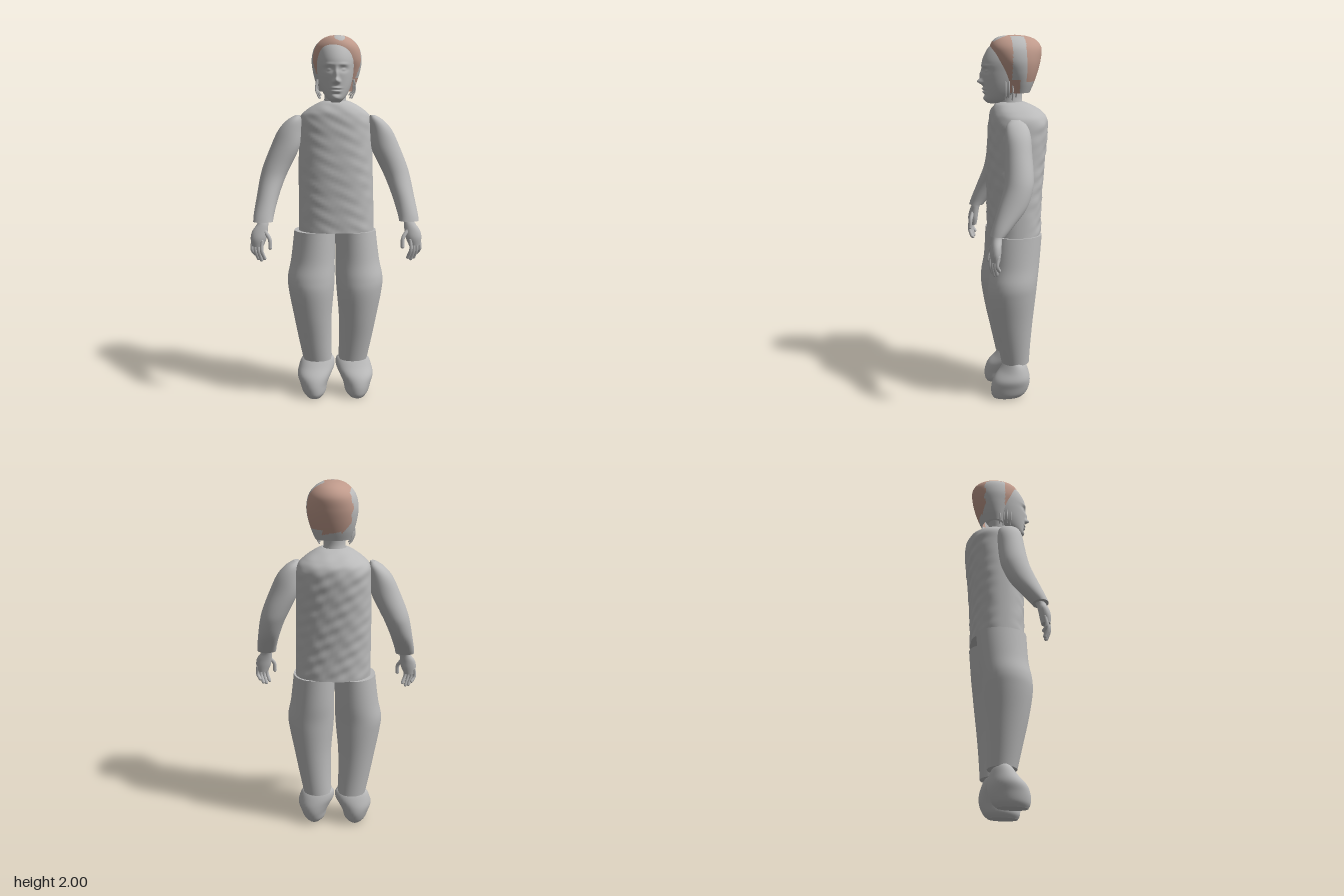
import * as THREE from 'three';

const grey = new THREE.MeshStandardMaterial({ color: 0xbababa, side: THREE.DoubleSide });
grey.name = 'grey';
const brown = new THREE.MeshStandardMaterial({ color: 0xbf9a8b, side: THREE.DoubleSide });
brown.name = 'hairBrown';

// Catmull-Rom blend between the section rows
function sample(rows, t) {
  const n = rows.length - 1, f = t * n, i = Math.min(Math.floor(f), n - 1), u = f - i;
  const at = k => rows[Math.max(0, Math.min(n, k))];
  const [a, b, c, d] = [at(i - 1), at(i), at(i + 1), at(i + 2)];
  return b.map((p, k) => p + 0.5 * u * (c[k] - a[k] + u * (2 * a[k] - 5 * p + 4 * c[k] - d[k]
    + u * (3 * (p - c[k]) + d[k] - a[k]))));
}

// Smooth body from rising sections [y, xMin, xMax, zMin, zMax]
function loft(name, rows, { sides = 40, steps = 40, power = 2, deform, paint, caps = true } = {}) {
  const pos = [], plain = [], painted = [];
  const point = (r, j) => {
    const a = j / sides * Math.PI * 2, e = 2 / power;
    const c = Math.cos(a), s = Math.sin(a);
    const v = new THREE.Vector3(
      (r[1] + r[2]) / 2 + Math.sign(c) * Math.abs(c) ** e * (r[2] - r[1]) / 2, r[0],
      (r[3] + r[4]) / 2 + Math.sign(s) * Math.abs(s) ** e * (r[4] - r[3]) / 2);
    if (deform) deform(v, s);
    return v;
  };
  for (let i = 0; i <= steps; i++) {
    const r = sample(rows, i / steps);
    for (let j = 0; j < sides; j++) pos.push(...point(r, j).toArray());
  }
  const addTriangle = (...t) => {
    const mid = [0, 1, 2].map(k => t.reduce((sum, v) => sum + pos[v * 3 + k], 0) / 3);
    (paint && paint(...mid) ? painted : plain).push(...t);
  };
  for (let i = 0; i < steps; i++) for (let j = 0; j < sides; j++) {
    const a = i * sides + j, b = i * sides + (j + 1) % sides;
    addTriangle(a, a + sides, b);
    addTriangle(b, a + sides, b + sides);
  }
  // End caps keep their own corners so the rims stay crisp
  if (caps) for (const top of [false, true]) {
    const r = rows[top ? rows.length - 1 : 0], base = pos.length / 3;
    pos.push((r[1] + r[2]) / 2, r[0], (r[3] + r[4]) / 2);
    for (let j = 0; j < sides; j++) pos.push(...point(r, j).toArray());
    for (let j = 0; j < sides; j++) {
      const a = base + 1 + j, b = base + 1 + (j + 1) % sides;
      plain.push(base, top ? b : a, top ? a : b);
    }
  }
  const g = new THREE.BufferGeometry();
  g.setAttribute('position', new THREE.Float32BufferAttribute(pos, 3));
  g.setIndex([...plain, ...painted]);
  g.addGroup(0, plain.length, 0);
  g.addGroup(plain.length, painted.length, 1);
  g.computeVertexNormals();
  const m = new THREE.Mesh(g, paint ? [grey, brown] : grey);
  m.name = name;
  return m;
}

const mirrored = (rows, s) => rows.map(([y, a, b, c, d]) => s > 0 ? [y, a, b, c, d] : [y, -b, -a, c, d]);

// Rounded finger or strand along a few points
function strand(name, pts, r, s = 1) {
  const v = pts.map(p => new THREE.Vector3(p[0] * s, p[1], p[2]));
  const group = new THREE.Group();
  group.name = name;
  group.add(new THREE.Mesh(new THREE.TubeGeometry(new THREE.CatmullRomCurve3(v), 10, r, 8), grey));
  for (const end of [v[0], v[v.length - 1]]) {
    const tip = new THREE.Mesh(new THREE.SphereGeometry(r, 8, 6), grey);
    tip.position.copy(end);
    group.add(tip);
  }
  group.children.forEach(c => { c.name = name + 'Part'; });
  return group;
}

// Nose, brow, eye sockets, eyes, lips and chin: [x, y, width, height, depth]
const features = [
  [0, 1.757, 0.013, 0.014, 0.026], [0, 1.79, 0.01, 0.03, 0.014], [0.016, 1.752, 0.008, 0.009, 0.007],
  [0.04, 1.817, 0.024, 0.014, -0.013], [0.04, 1.815, 0.012, 0.007, 0.009], [0.04, 1.842, 0.028, 0.008, 0.005],
  [0, 1.719, 0.022, 0.006, 0.009], [0, 1.711, 0.026, 0.003, -0.005], [0, 1.702, 0.02, 0.006, 0.008],
  [0, 1.687, 0.02, 0.007, -0.006], [0, 1.666, 0.022, 0.012, 0.006],
];
function sculptFace(v, front) {
  if (front <= 0) return;
  for (const [x, y, w, h, d] of features) for (const s of x ? [-1, 1] : [1])
    v.z += front * d * Math.exp(-(((v.x - x * s) / w) ** 2) - ((v.y - y) / h) ** 2);
}

// Soft cloth wrinkles
function wrinkle(v) {
  const w = Math.sin(v.x * 43 + v.y * 17) * Math.sin(v.y * 61 - v.x * 21) + 0.5 * Math.sin(v.y * 97 + v.x * 60);
  v.z += 0.0025 * w * Math.sign(v.z) * Math.min(1, Math.abs(v.z) * 12);
}

// Brown areas of the hair; the rest stays grey
function isBrown(x, y, z) {
  const rag = 0.005 * Math.sin(y * 90 + x * 40);
  if (((x - 0.02) / 0.03) ** 2 + ((z - 0.065) / 0.035) ** 2 < 1 && y > 1.93) return false;
  if (x > 0.055 + rag) {
    if (z > -0.062 && z < 0.012) return y < 1.77 && z > -0.03;
    return !(z < -0.03 && y < 1.76);
  }
  if (x < -0.04 && z < 0.01) return z < -0.105 + rag || (x > -0.085 + rag && y > 1.88);
  if (x < 0 && z > 0) return y > 1.79 + rag;
  return y > 1.745 + rag - x * 0.3;
}

export function createModel() {
  const model = new THREE.Group();
  model.name = 'figure';

  model.add(loft('torso', [
    [0.94, -0.2, 0.215, -0.16, 0.13], [1.1, -0.2, 0.212, -0.163, 0.13], [1.3, -0.2, 0.207, -0.178, 0.13],
    [1.48, -0.195, 0.203, -0.195, 0.122], [1.56, -0.19, 0.195, -0.193, 0.115], [1.6, -0.155, 0.16, -0.165, 0.107],
    [1.635, -0.1, 0.105, -0.105, 0.085], [1.65, -0.065, 0.068, -0.065, 0.06],
  ], { sides: 72, steps: 90, power: 2.25, deform: wrinkle }));

  model.add(loft('neck', [
    [1.62, -0.065, 0.065, -0.07, 0.065], [1.67, -0.058, 0.058, -0.06, 0.055], [1.74, -0.06, 0.06, -0.07, 0.06],
  ], { steps: 10 }));

  model.add(loft('head', [
    [1.643, -0.022, 0.022, 0.06, 0.125], [1.665, -0.048, 0.048, 0.0, 0.142], [1.7, -0.07, 0.07, -0.05, 0.146],
    [1.75, -0.088, 0.088, -0.09, 0.15], [1.81, -0.098, 0.098, -0.115, 0.155], [1.87, -0.1, 0.102, -0.125, 0.152],
    [1.93, -0.09, 0.092, -0.115, 0.122], [1.97, -0.064, 0.066, -0.085, 0.078], [1.99, -0.02, 0.02, -0.03, 0.03],
  ], { sides: 128, steps: 120, deform: sculptFace }));

  model.add(loft('hair', [
    [1.70, -0.085, 0.1, -0.1, 0.03], [1.75, -0.105, 0.12, -0.122, 0.045], [1.81, -0.12, 0.138, -0.143, 0.07],
    [1.87, -0.126, 0.145, -0.158, 0.1], [1.93, -0.112, 0.132, -0.163, 0.113], [1.97, -0.08, 0.1, -0.138, 0.097],
    [1.992, -0.04, 0.06, -0.09, 0.06], [2.0, 0.008, 0.012, -0.022, -0.018],
  ], { sides: 96, steps: 72, paint: isBrown, caps: false }));

  const legRows = [
    [0.2, 0.018, 0.18, -0.085, 0.07], [0.32, 0.022, 0.205, -0.09, 0.095], [0.46, 0.02, 0.232, -0.1, 0.125],
    [0.6, 0.008, 0.258, -0.114, 0.147], [0.68, 0.003, 0.264, -0.122, 0.145], [0.78, 0.002, 0.245, -0.135, 0.13],
    [0.94, 0.0, 0.226, -0.15, 0.123],
  ];
  const footRows = [
    [0, 0.075, 0.165, -0.04, 0.12], [0.025, 0.055, 0.185, -0.065, 0.132], [0.07, 0.045, 0.2, -0.083, 0.132],
    [0.115, 0.025, 0.213, -0.086, 0.115], [0.16, 0.005, 0.205, -0.077, 0.075],
    [0.2, 0.005, 0.19, -0.06, 0.045], [0.225, 0.03, 0.165, -0.035, 0.025],
  ];
  const armRows = [
    [1.01, 0.34, 0.446, 0.095, 0.178], [1.05, 0.333, 0.443, 0.06, 0.165], [1.14, 0.308, 0.428, -0.015, 0.132],
    [1.23, 0.275, 0.412, -0.052, 0.1], [1.3, 0.242, 0.393, -0.062, 0.088], [1.4, 0.195, 0.353, -0.062, 0.082],
    [1.49, 0.185, 0.311, -0.06, 0.075], [1.545, 0.183, 0.263, -0.045, 0.062], [1.572, 0.19, 0.218, -0.01, 0.035],
  ];
  const palmRows = [
    [0.88, 0.392, 0.452, 0.132, 0.177], [0.92, 0.375, 0.46, 0.126, 0.182], [0.96, 0.368, 0.452, 0.122, 0.176],
    [1.0, 0.365, 0.425, 0.115, 0.165], [1.03, 0.365, 0.42, 0.1, 0.15],
  ];
  for (const s of [1, -1]) {
    const side = s > 0 ? 'left' : 'right';
    model.add(loft(side + 'Leg', mirrored(legRows, s)));
    model.add(loft(side + 'Foot', mirrored(footRows, s)));
    model.add(loft(side + 'Arm', mirrored(armRows, s)));

    const hand = new THREE.Group();
    hand.name = side + 'Hand';
    hand.add(loft(side + 'Palm', mirrored(palmRows, s), { sides: 20, steps: 16 }));
    for (let i = 0; i < 4; i++) {
      const x = 0.398 + i * 0.017, z = 0.172 - i * 0.009, tip = [0.815, 0.805, 0.812, 0.835][i];
      hand.add(strand(side + 'Finger', [[x, 0.91, z], [x + 0.003, 0.86, z + 0.006], [x - 0.012, tip, z - 0.006]], 0.0095, s));
    }
    hand.add(strand(side + 'Thumb', [[0.382, 0.96, 0.16], [0.357, 0.92, 0.175], [0.355, 0.875, 0.18]], 0.0105, s));
    model.add(hand);

    // Loose locks beside the jaw
    for (let i = 0; i < 4; i++) {
      const z = 0.045 - i * 0.02, x = 0.1 - i * 0.004;
      model.add(strand(side + 'HairLock', [[x, 1.76, z], [x + 0.006, 1.71, z], [x - 0.012, 1.665 + (i % 2) * 0.015, z]], 0.004, s));
    }
  }
  return model;
}
